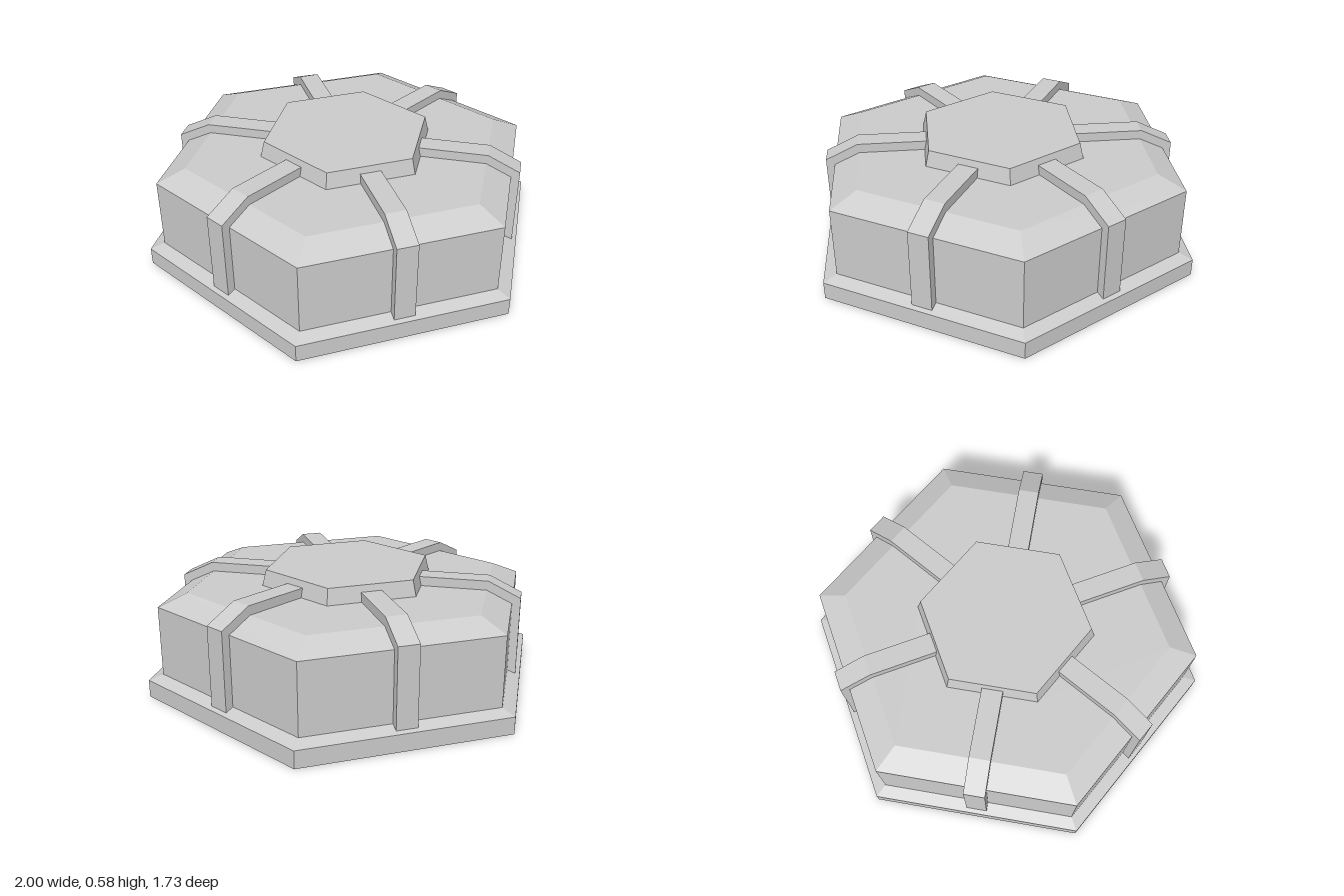
import * as THREE from 'three';

const material = new THREE.MeshStandardMaterial({ color: 0xcccccc, flatShading: true });

// Six-sided solid from a [radius, y] profile running bottom to top, corners on the x axis
function hexPart(name, profile) {
  const points = profile.map(([r, y]) => new THREE.Vector2(r, y));
  const geometry = new THREE.LatheGeometry(points, 6, Math.PI / 2).toNonIndexed();
  geometry.computeVertexNormals();
  const mesh = new THREE.Mesh(geometry, material);
  mesh.name = name;
  return mesh;
}

export function createModel() {
  const group = new THREE.Group();
  group.name = 'hexagonalPad';

  // Base plate, main body with a sloped shoulder, and raised centre cap
  group.add(
    hexPart('basePlate', [[0, 0], [1, 0], [1, 0.085], [0.93, 0.108]]),
    hexPart('body', [[0.93, 0.108], [0.93, 0.45], [0.79, 0.508], [0.425, 0.508]]),
    hexPart('centreCap', [[0.43, 0.506], [0.41, 0.585], [0, 0.585]]),
  );

  // Bent strap over the middle of each side, from base plate to cap
  const width = 0.1;
  const outline = [
    [0.795, 0.09], [0.845, 0.09], [0.845, 0.478], [0.69, 0.553],
    [0.355, 0.553], [0.355, 0.5], [0.68, 0.5], [0.795, 0.44],
  ].map(([r, y]) => new THREE.Vector2(r, y));
  const strapGeometry = new THREE.ExtrudeGeometry(new THREE.Shape(outline), {
    depth: width, bevelEnabled: false,
  });
  strapGeometry.translate(0, 0, -width / 2);

  const straps = new THREE.Group();
  straps.name = 'straps';
  for (let i = 0; i < 6; i++) {
    const strap = new THREE.Mesh(strapGeometry, material);
    strap.name = `strap${i + 1}`;
    strap.rotation.y = Math.PI / 6 + (i * Math.PI) / 3;
    straps.add(strap);
  }
  group.add(straps);
  return group;
}
